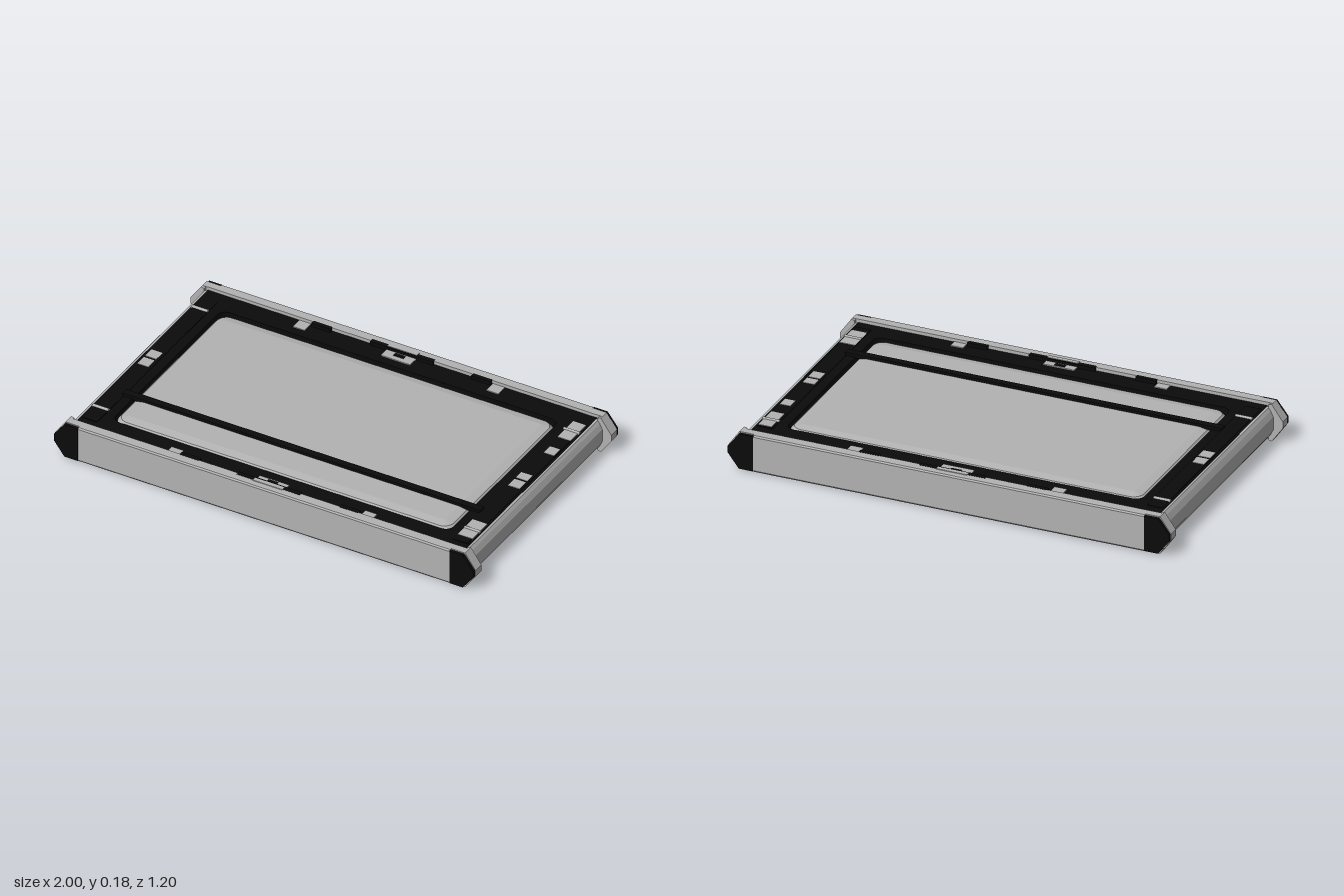
import * as THREE from 'three';

const MID = 0.085; // height of the mirror plane between the two faces

export function createModel() {
  const grey = new THREE.MeshStandardMaterial({ color: 0xb2b2b2 });
  grey.name = 'light grey metal';
  const black = new THREE.MeshStandardMaterial({ color: 0x0b0b0b });
  black.name = 'black';
  const model = new THREE.Group();
  model.name = 'panelDoor';

  const add = (name, geo, mat) => {
    const m = new THREE.Mesh(geo, mat);
    m.name = name;
    model.add(m);
    return m;
  };
  const poly = (pts) => new THREE.Shape(pts.map(([x, y]) => new THREE.Vector2(x, y)));
  // extrude an x-y outline between two z values
  const prism = (name, pts, z0, z1, mat) => {
    const geo = new THREE.ExtrudeGeometry(poly(pts), { depth: z1 - z0, bevelEnabled: false });
    return add(name, geo.translate(0, 0, z0), mat);
  };
  // box given by its limits
  const box = (name, x0, x1, y0, y1, z0, z1, mat) => {
    const geo = new THREE.BoxGeometry(x1 - x0, y1 - y0, z1 - z0);
    return add(name, geo.translate((x0 + x1) / 2, (y0 + y1) / 2, (z0 + z1) / 2), mat);
  };
  // the same detail on the upper and lower faces
  const both = (name, x0, x1, z0, z1, low, high, mat) => {
    box(name, x0, x1, low, high, z0, z1, mat);
    box(name, x0, x1, 2 * MID - high, 2 * MID - low, z0, z1, mat);
  };
  const roundRect = (S, x, z, r, dz = 0) => {
    const s = new S();
    s.moveTo(-x + r, -z + dz);
    for (const [cx, cy, a] of [[x - r, -z + r, -0.5], [x - r, z - r, 0], [-x + r, z - r, 0.5], [-x + r, -z + r, 1]])
      s.absarc(cx, cy + dz, r, a * Math.PI, (a + 0.5) * Math.PI, false);
    return s;
  };
  // turn an extrusion upright and centre it on the mirror plane
  const upright = (geo, depth) => geo.translate(0, 0, -depth / 2).rotateX(-Math.PI / 2).translate(0, MID, 0);

  // black frame with a rounded opening
  const outer = poly([[-0.925, -0.55], [0.925, -0.55], [0.925, 0.55], [-0.925, 0.55]]);
  outer.holes.push(roundRect(THREE.Path, 0.803, 0.456, 0.04, -0.004));
  add('frame', upright(new THREE.ExtrudeGeometry(outer, { depth: 0.14, bevelEnabled: false, curveSegments: 6 }), 0.14), black);

  // bevelled centre panel, raised on both faces
  const panel = new THREE.ExtrudeGeometry(roundRect(THREE.Shape, 0.75, 0.398, 0.008, -0.004), {
    depth: 0.094, bevelEnabled: true, bevelSize: 0.052, bevelThickness: 0.025, bevelSegments: 2, curveSegments: 4,
  });
  add('centrePanel', upright(panel, 0.094), grey);

  // cross band over the panel
  both('crossBand', -0.85, 0.85, 0.255, 0.287, 0.15, 0.169, black);

  // long rails with pointed ends
  const hex = (x, y0, y1) => [
    [-x, 0.07], [-x + 0.05, y0], [x - 0.05, y0], [x, 0.07], [x, 0.1], [x - 0.05, y1], [-x + 0.05, y1], [-x, 0.1],
  ];
  const tip = (s, x, inset) => {
    const pts = [[0.883, inset], [x - 0.05, inset], [x, 0.07], [x, 0.1], [x - 0.05, 0.17 - inset], [0.883, 0.17 - inset]];
    return s > 0 ? pts : pts.map(([a, b]) => [-a, b]).reverse();
  };
  const flange = (s) => {
    const pts = [[0.935, 0.004], [0.95, 0], [1, 0.07], [1, 0.1], [0.95, 0.17], [0.935, 0.166]];
    return s > 0 ? pts : pts.map(([a, b]) => [-a, b]).reverse();
  };
  for (const s of [1, -1]) {
    const span = (a, b) => (s > 0 ? [a, b] : [-b, -a]);
    prism('rail', hex(1, 0, 0.17), ...span(0.55, 0.585), grey);
    // outer face, slightly softened along its long edges
    const face = [[0.585, 0], [0.592, 0.001], [0.597, 0.008], [0.597, 0.162], [0.592, 0.169], [0.585, 0.17]];
    const faceGeo = new THREE.ExtrudeGeometry(poly(face), { depth: 1.766, bevelEnabled: false });
    faceGeo.translate(0, 0, -0.883).rotateY(s > 0 ? -Math.PI / 2 : Math.PI / 2);
    // the quarter turn maps the profile to -z or +z, so settle the side explicitly
    faceGeo.computeBoundingBox();
    if (faceGeo.boundingBox.max.z * s < 0.5) faceGeo.rotateY(Math.PI);
    add('railFace', faceGeo, grey);
    for (const e of [1, -1]) {
      prism('endCap', tip(e, 0.997, 0.005), ...span(0.585, 0.599), black);
      prism('railFlange', flange(e), ...span(0.537, 0.55), grey);
    }
  }

  // short side bars with a faceted profile
  const bar = [[0.915, 0.017], [0.935, 0.017], [0.945, 0.03], [0.957, 0.055], [0.957, 0.115], [0.945, 0.14], [0.935, 0.153], [0.915, 0.153]];
  prism('leftBar', bar, -0.545, 0.545, grey);
  prism('rightBar', bar.map(([x, y]) => [-x, y]).reverse(), -0.545, 0.545, grey);

  // rim strips along the short sides of the frame
  for (const s of [1, -1])
    both('frameRim', s * 0.88 - 0.035, s * 0.88 + 0.035, -0.485, 0.505, 0.15, 0.158, black);

  for (const s of [1, -1]) {
    const z = (a, b) => (s > 0 ? [a, b] : [-b, -a]);
    const inner = s > 0 ? 0.508 : 0.492;
    // latch plates along the long sides
    for (const x of [-0.46, 0.46]) both('latchPlate', x - 0.028, x + 0.028, ...z(inner, 0.546), 0.15, 0.159, grey);
    both('centreLatch', -0.07, 0.07, ...z(inner, 0.55), 0.15, 0.16, grey);
    both('latchSlot', -0.024, 0.024, ...z(0.515, 0.534), 0.157, 0.162, black);
    // black lugs notched into the rails
    both('railLug', -0.15, 0.15, ...z(0.54, 0.562), 0.15, 0.171, black);
    both('lugPlate', -0.07, 0.07, ...z(0.548, 0.567), 0.165, 0.173, grey);
    for (const x of [-0.38, 0.38]) both('railStop', x - 0.045, x + 0.045, ...z(0.535, 0.555), 0.15, 0.171, black);
  }

  // grey plates on the short sides
  const plates = [
    [-0.91, -0.857, -0.057, -0.005], [-0.91, -0.857, 0.006, 0.06],
    [0.852, 0.905, -0.05, -0.005], [0.852, 0.905, 0.006, 0.06],
    [0.855, 0.915, -0.475, -0.345], [0.862, 0.91, -0.27, -0.218], [0.847, 0.918, 0.345, 0.468],
  ];
  for (const [x0, x1, z0, z1] of plates) both('sidePlate', x0, x1, z0, z1, 0.152, 0.16, grey);

  // round pins next to the side bars
  for (const x of [-0.883, 0.883])
    for (const z of [-0.413, 0.408])
      for (const y of [0.156, 2 * MID - 0.156]) {
        const pin = new THREE.CylinderGeometry(0.009, 0.009, 0.076, 10).rotateZ(Math.PI / 2);
        add('pin', pin.translate(x, y, z), grey);
      }
  return model;
}
